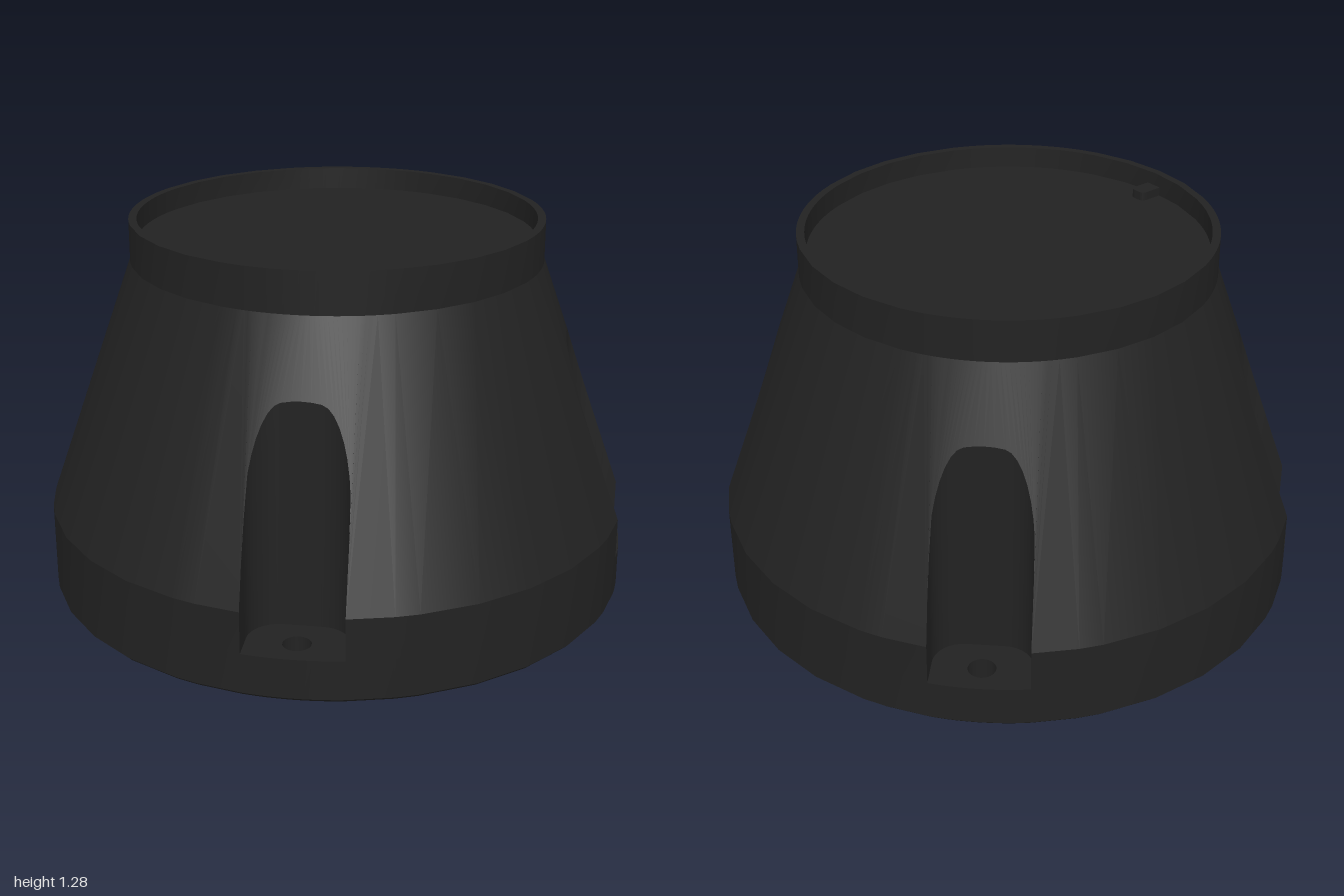
import * as THREE from 'three';
import { toCreasedNormals } from 'three/addons/utils/BufferGeometryUtils.js';

const DEG = Math.PI / 180;
const BASE_R = 1, RIM_R = 0.697, INNER_R = 0.67;
const SHOULDER_Y = 0.288, NECK_Y = 1.145, TOP_Y = 1.285, FLOOR_Y = 1.21;
const LEDGE_Y = 0.145, HOLE_R = 0.046, HOLE_DIST = 0.9;
const SLOT_IN = 0.783, SLOT_W = 0.163, SLOT_ROUND = 0.1;

const polar = (r, a, y) => [r * Math.sin(a), y, r * Math.cos(a)];

// Half outline of a screw pocket: flat inner end, rounded corner, straight side
function pocketOutline() {
  const pts = [], cu = SLOT_IN + SLOT_ROUND, cv = SLOT_W - SLOT_ROUND;
  pts.push([SLOT_IN, 0], [SLOT_IN, cv / 2]);
  for (let i = 0; i <= 8; i++) {
    const t = (i / 8) * Math.PI / 2;
    pts.push([cu - SLOT_ROUND * Math.cos(t), cv + SLOT_ROUND * Math.sin(t)]);
  }
  const end = Math.sqrt(BASE_R ** 2 - SLOT_W ** 2);
  for (let i = 1; i <= 4; i++) pts.push([cu + (end - cu) * i / 4, SLOT_W]);
  return pts;
}

// One vertical section of the housing; the pocket wall may sit at its own angle
function section(baseA, wallR, wallA, rimA) {
  const wallTop = wallR > BASE_R - 1e-6 ? SHOULDER_Y
    : NECK_Y - (wallR - RIM_R) / (BASE_R - RIM_R) * (NECK_Y - SHOULDER_Y);
  return [
    polar(0.99, baseA, 0), polar(BASE_R, baseA, 0.01), polar(BASE_R, baseA, LEDGE_Y),
    polar(wallR, wallA, LEDGE_Y), polar(wallR, wallA, wallTop),
    polar(RIM_R, rimA, NECK_Y), polar(RIM_R, rimA, TOP_Y),
    polar(INNER_R, rimA, TOP_Y), polar(INNER_R, rimA, FLOOR_Y), [0, FLOOR_Y, 0],
  ];
}

function holePath(x, y) {
  return new THREE.Path().absarc(x, y, HOLE_R, 0, Math.PI * 2, true);
}

export function createModel() {
  const group = new THREE.Group();
  const solid = new THREE.MeshStandardMaterial({ color: 0x222222 });
  const thin = new THREE.MeshStandardMaterial({ color: 0x222222, side: THREE.DoubleSide });
  const add = (name, geo, mat = solid) => {
    const mesh = new THREE.Mesh(geo, mat);
    mesh.name = name;
    group.add(mesh);
    return mesh;
  };

  // Sections around the housing: a pocket, then plain wall, four times
  const half = pocketOutline(), n = half.length - 1;
  const sections = [], pockets = [];
  for (let q = 0; q < 4; q++) {
    const mid = (45 + 90 * q) * DEG, pocket = [];
    for (let k = -n; k <= n; k++) {
      const [u, w] = half[Math.abs(k)], v = w * Math.sign(k);
      const s = section(mid + Math.asin(v), Math.hypot(u, v), mid + Math.atan2(v, u), mid + 16 * DEG * k / n);
      pocket.push(s);
      sections.push(s);
    }
    pockets.push(pocket);
    for (const d of [18, 22.5, 33.75, 45, 56.25, 67.5, 72]) {
      const a = mid + d * DEG;
      sections.push(section(a, BASE_R, a, a));
    }
  }

  // Housing shell, skipping the ledge band (2 to 3) and empty triangles
  const pos = [], A = new THREE.Vector3(), B = new THREE.Vector3(), C = new THREE.Vector3();
  const tri = (a, b, c) => {
    A.fromArray(a); B.fromArray(b).sub(A); C.fromArray(c).sub(A);
    if (B.cross(C).length() > 1e-9) pos.push(...a, ...b, ...c);
  };
  sections.forEach((s, i) => {
    const t = sections[(i + 1) % sections.length];
    for (let j = 0; j < s.length - 1; j++) {
      if (j === 2) continue;
      tri(s[j], t[j], t[j + 1]);
      tri(s[j], t[j + 1], s[j + 1]);
    }
  });
  const shell = new THREE.BufferGeometry();
  shell.setAttribute('position', new THREE.Float32BufferAttribute(pos, 3));
  add('housing', toCreasedNormals(shell, 15 * DEG));

  // Screw positions, and the two blind holes in the underside
  const screws = [0, 1, 2, 3].map(q => polar(HOLE_DIST, (45 + 90 * q) * DEG, 0));
  const blind = [[0.145, 0, 0.9], [0.145, 0, -0.9]];

  // Flat underside
  const rim = sections.map(s => new THREE.Vector2(s[0][0], s[0][2]));
  const under = new THREE.Shape(rim.filter((p, i) => i === 0 || p.distanceTo(rim[i - 1]) > 1e-5));
  for (const [x, , z] of [...screws, ...blind]) under.holes.push(holePath(x, z));
  add('underside', new THREE.ShapeGeometry(under, 12).rotateX(Math.PI / 2));

  // Ledge and through hole of each screw pocket
  pockets.forEach((p, q) => {
    const inner = p.map(s => new THREE.Vector2(s[3][0], -s[3][2]));
    const outer = p.slice(5, -5).map(s => new THREE.Vector2(s[2][0], -s[2][2])).reverse();
    const ledge = new THREE.Shape([...inner, ...outer]);
    const [x, , z] = screws[q];
    ledge.holes.push(holePath(x, -z));
    add('pocketLedge', new THREE.ShapeGeometry(ledge, 12).rotateX(-Math.PI / 2)).position.y = LEDGE_Y;
    add('screwHole', new THREE.CylinderGeometry(HOLE_R, HOLE_R, LEDGE_Y, 24, 1, true), thin)
      .position.set(x, LEDGE_Y / 2, z);
  });

  // Blind holes
  const depth = 0.15;
  for (const [x, , z] of blind) {
    add('blindHole', new THREE.CylinderGeometry(HOLE_R, HOLE_R, depth, 24, 1, true), thin)
      .position.set(x, depth / 2, z);
    add('blindHoleEnd', new THREE.CircleGeometry(HOLE_R, 24).rotateX(Math.PI / 2))
      .position.set(x, depth, z);
  }

  // Small locating key on the recessed top, against the front of the rim
  const key = new THREE.Shape();
  key.moveTo(-0.03, -0.668);
  key.lineTo(0.03, -0.668);
  key.lineTo(0.03, -0.605);
  key.quadraticCurveTo(0.03, -0.585, 0.01, -0.585);
  key.lineTo(-0.01, -0.585);
  key.quadraticCurveTo(-0.03, -0.585, -0.03, -0.605);
  const keyGeo = new THREE.ExtrudeGeometry(key, { depth: 0.03, bevelEnabled: false, curveSegments: 5 });
  add('locatingKey', keyGeo.rotateX(-Math.PI / 2)).position.y = FLOOR_Y;

  return group;
}
